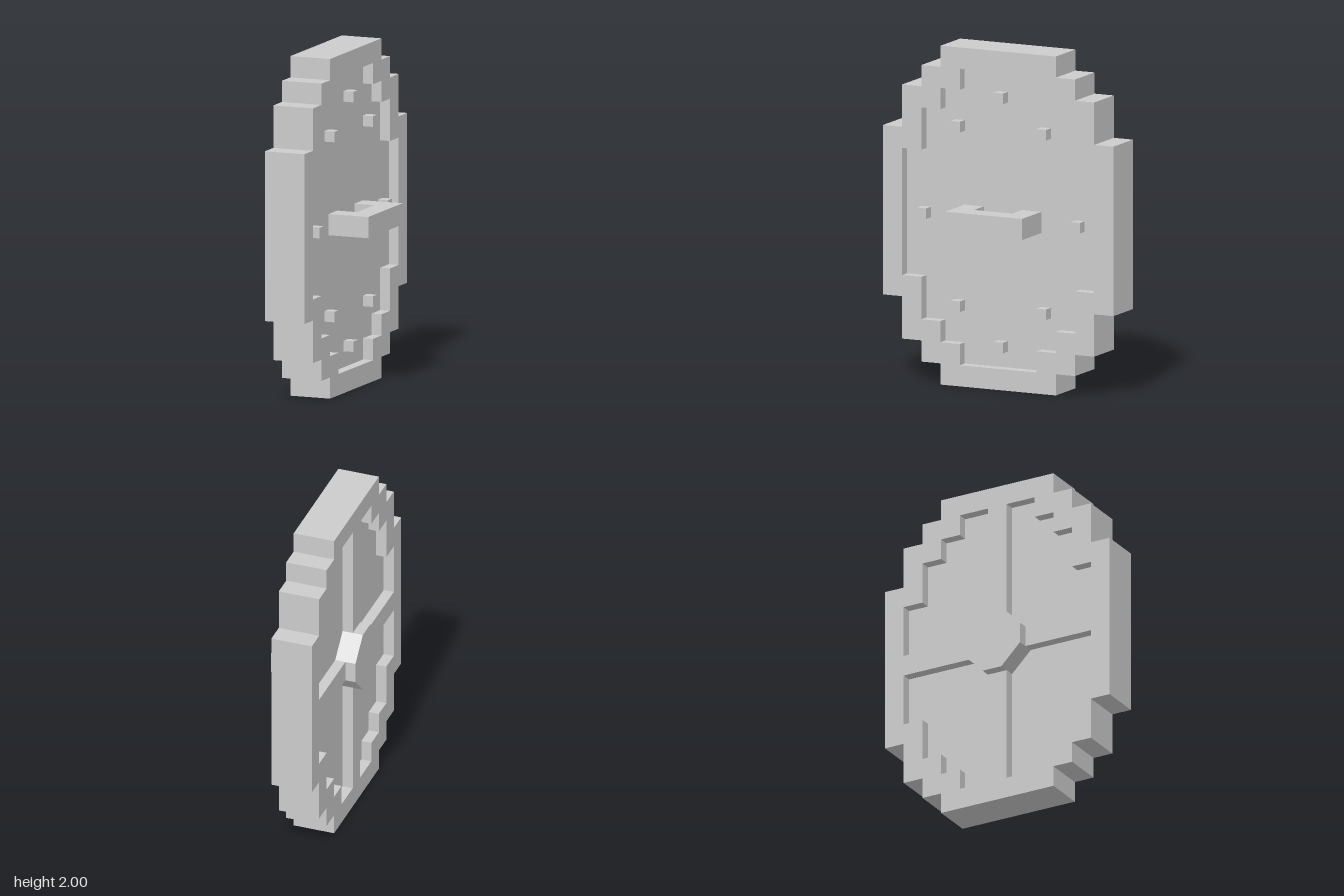
import * as THREE from 'three';

// The shield lies in the z-y plane; its grip points to +x and its boss to -x.
const CENTRE_Y = 1;
const material = new THREE.MeshStandardMaterial({ color: 0xcccccc, flatShading: true });

// Mirror a top quarter outline (top to side) into a full clockwise outline.
function mirrorQuarter(quarter) {
  const back = [...quarter].reverse();
  return [
    ...quarter,
    ...back.map(([z, y]) => [z, -y]),
    ...quarter.map(([z, y]) => [-z, -y]),
    ...back.map(([z, y]) => [-z, y]),
  ].map(([z, y]) => new THREE.Vector2(z, y));
}

// Extrude a z-y outline along x, from x0 to x1; a hole runs the opposite way round.
function slab(name, outline, x0, x1, hole) {
  const shape = new THREE.Shape(outline);
  if (hole) shape.holes.push(new THREE.Path([...hole].reverse()));
  const geometry = new THREE.ExtrudeGeometry(shape, { depth: x1 - x0, bevelEnabled: false });
  geometry.rotateY(Math.PI / 2).translate(x0, CENTRE_Y, 0);
  const mesh = new THREE.Mesh(geometry, material);
  mesh.name = name;
  return mesh;
}

// Box given by its size and centre.
function box(name, size, centre) {
  const mesh = new THREE.Mesh(new THREE.BoxGeometry(...size), material);
  mesh.position.set(...centre);
  mesh.name = name;
  return mesh;
}

export function createModel() {
  const shield = new THREE.Group();
  shield.name = 'shield';

  // Stepped rim and the recessed panel inside it
  const outer = mirrorQuarter([
    [0.375, 1], [0.375, 0.875], [0.5, 0.875], [0.5, 0.75],
    [0.625, 0.75], [0.625, 0.5], [0.75, 0.5],
  ]);
  const inner = mirrorQuarter([
    [0.25, 0.875], [0.25, 0.75], [0.375, 0.75], [0.375, 0.625],
    [0.5, 0.625], [0.5, 0.375], [0.625, 0.375],
  ]);
  shield.add(slab('rim', outer, -0.1875, 0.0625, inner));
  shield.add(slab('panel', inner, -0.125, 0));

  // Cross bars, flush with the rim
  shield.add(box('verticalBar', [0.0625, 1.75, 0.125], [-0.15625, CENTRE_Y, 0]));
  for (const side of [-1, 1]) {
    shield.add(box('horizontalBar', [0.0625, 0.125, 0.5625], [-0.15625, CENTRE_Y, side * 0.34375]));
  }

  // Eight-sided boss over the crossing
  const boss = mirrorQuarter([[0.0625, 0.1875], [0.1875, 0.0625]]);
  shield.add(slab('boss', boss, -0.25, -0.125));

  // C-shaped grip, extruded upwards
  const gripOutline = [
    [0, -0.25], [0.25, -0.25], [0.25, 0.25], [0, 0.25],
    [0, 0.125], [0.125, 0.125], [0.125, -0.125], [0, -0.125],
  ].map(([x, z]) => new THREE.Vector2(x, z));
  const gripGeometry = new THREE.ExtrudeGeometry(new THREE.Shape(gripOutline), {
    depth: 0.125, bevelEnabled: false,
  });
  gripGeometry.rotateX(-Math.PI / 2).translate(0, CENTRE_Y - 0.0625, 0);
  const grip = new THREE.Mesh(gripGeometry, material);
  grip.name = 'grip';
  shield.add(grip);

  // Ring of studs on the grip side
  const studs = new THREE.Group();
  studs.name = 'studs';
  const places = [[0, 1.72], [0, 0.25]];
  for (const side of [-1, 1]) {
    places.push([side * 0.28, 1.53], [side * 0.5, 1], [side * 0.28, 0.47]);
  }
  for (const [z, y] of places) {
    studs.add(box('stud', [0.0625, 0.0625, 0.0625], [0.03125, y, z]));
  }
  shield.add(studs);

  return shield;
}
